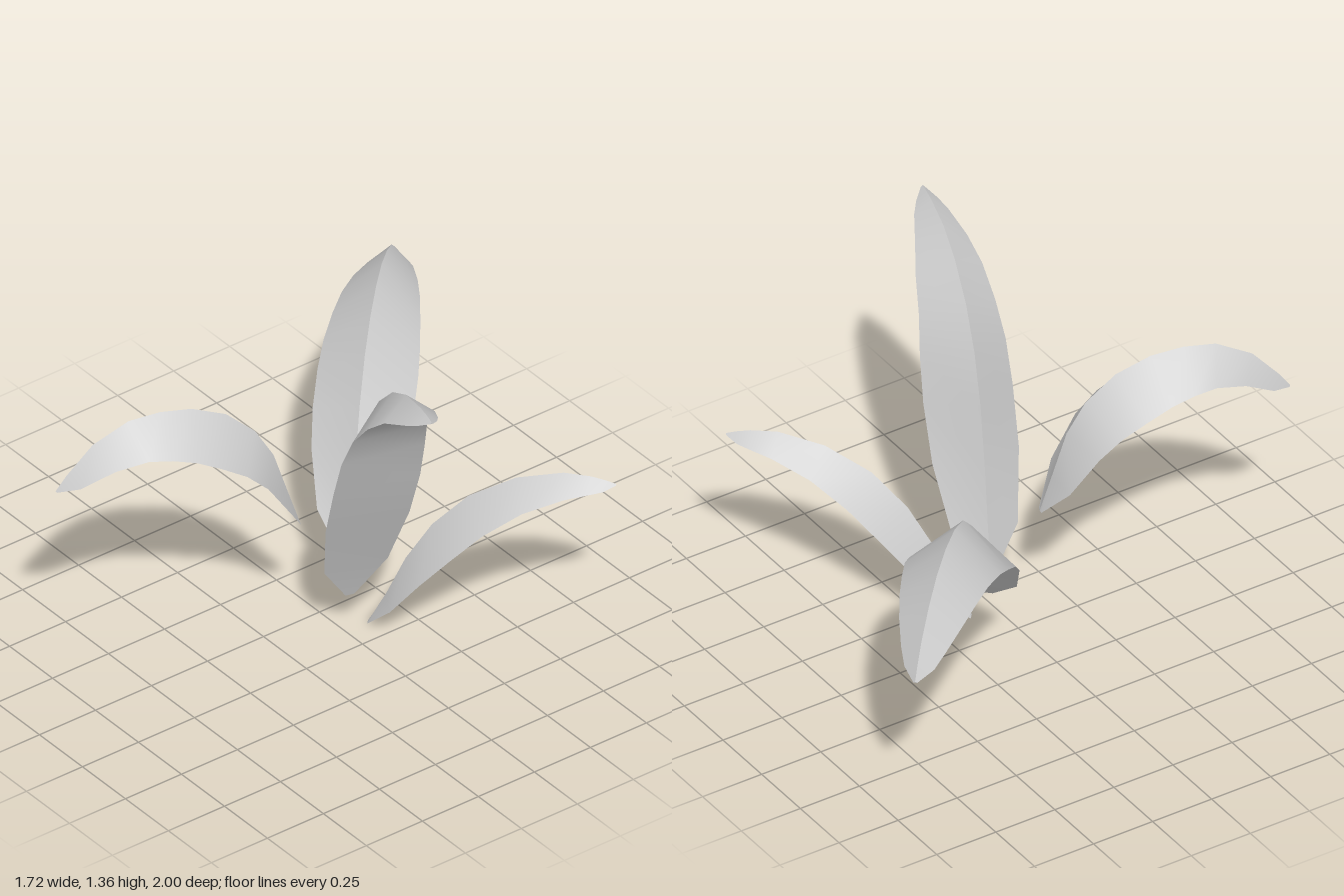
import * as THREE from 'three';

const material = new THREE.MeshStandardMaterial({ color: 0xcccccc, side: THREE.DoubleSide });

// Half width (share of the maximum) and ridge height (share of the half width) along a leaf
const WIDTH = [[0, 0.1], [0.1, 0.72], [0.2, 0.92], [0.33, 1], [0.45, 1], [0.57, 0.95],
  [0.77, 0.74], [0.87, 0.55], [0.93, 0.4], [0.965, 0.29], [1, 0.04]];
const RIDGE = [[0, 0.1], [0.1, 0.27], [0.3, 0.66], [0.45, 0.86], [1, 0.86]];

function lookUp(table, t) {
  const i = Math.max(1, table.findIndex(([key]) => key >= t - 1e-6));
  const [a, va] = table[i - 1], [b, vb] = table[i];
  return va + (vb - va) * (t - a) / (b - a);
}

// A solid blade of triangular section: a ridge along the top and a flat underside.
// rib holds the ridge line as [distance outward, height] points from base to tip.
function makeLeaf({ name, base, tip, halfWidth, rib }) {
  const points = rib.map(([s, y]) => new THREE.Vector2(s, y));
  const last = points.length - 1;
  const lengths = [0];
  for (let i = 1; i <= last; i++) lengths.push(lengths[i - 1] + points[i].distanceTo(points[i - 1]));
  const out = new THREE.Vector2(tip[0] - base[0], tip[1] - base[1]).normalize();

  const place = (s, y, side) => [
    base[0] + out.x * s - out.y * side, y, base[1] + out.y * s + out.x * side];

  // Corners of each section: ridge, one edge, other edge
  const sections = points.map((p, i) => {
    const t = lengths[i] / lengths[last];
    const tangent = points[Math.min(i + 1, last)].clone().sub(points[Math.max(i - 1, 0)]).normalize();
    const w = halfWidth * lookUp(WIDTH, t);
    const drop = w * lookUp(RIDGE, t);
    const s = p.x + tangent.y * drop, y = p.y - tangent.x * drop;
    return [place(p.x, p.y, 0), place(s, y, w), place(s, y, -w)];
  });

  const positions = [], index = [];
  // Each face has its own vertices, which keeps ridge and edges sharp
  for (const [a, b] of [[0, 1], [1, 2], [2, 0]]) {
    const start = positions.length / 3;
    sections.forEach((corners) => positions.push(...corners[a], ...corners[b]));
    for (let i = 0; i < last; i++) {
      const k = start + 2 * i;
      index.push(k, k + 1, k + 2, k + 1, k + 3, k + 2);
    }
  }
  // End caps
  for (const corners of [[...sections[0]].reverse(), sections[last]]) {
    const k = positions.length / 3;
    corners.forEach((corner) => positions.push(...corner));
    index.push(k, k + 1, k + 2);
  }

  const geometry = new THREE.BufferGeometry();
  geometry.setAttribute('position', new THREE.Float32BufferAttribute(positions, 3));
  geometry.setIndex(index);
  geometry.computeVertexNormals();
  const mesh = new THREE.Mesh(geometry, material);
  mesh.name = name;
  return mesh;
}

// Base and tip are [x, z]
const LEAVES = [
  {
    name: 'backRightLeaf', base: [0.03, -0.11], tip: [-0.86, -1], halfWidth: 0.18,
    rib: [[0, 0.18], [0.095, 0.33], [0.18, 0.525], [0.28, 0.665], [0.42, 0.785], [0.57, 0.85],
      [0.73, 0.874], [0.88, 0.865], [1.02, 0.825], [1.145, 0.765], [1.215, 0.71], [1.26, 0.665]],
  },
  {
    name: 'tallLeftLeaf', base: [0.15, -0.02], tip: [0.855, 0.155], halfWidth: 0.168,
    rib: [[0, 0.15], [0.022, 0.315], [0.06, 0.58], [0.105, 0.81], [0.17, 1], [0.26, 1.15],
      [0.38, 1.265], [0.5, 1.33], [0.63, 1.355], [0.685, 1.357], [0.727, 1.355]],
  },
  {
    name: 'frontLeaf', base: [0.03, 0.11], tip: [-0.24, 1], halfWidth: 0.16,
    rib: [[0, 0.45], [0.045, 0.59], [0.1, 0.765], [0.17, 0.885], [0.28, 0.985], [0.41, 1.04],
      [0.53, 1.055], [0.65, 1.045], [0.785, 0.975], [0.885, 0.865], [0.925, 0.81]],
  },
  {
    name: 'backLeftLeaf', base: [0.15, -0.1], tip: [0.775, -0.73], halfWidth: 0.13,
    rib: [[0, 0], [0.065, 0.125], [0.135, 0.285], [0.23, 0.44], [0.36, 0.574], [0.53, 0.667],
      [0.7, 0.703], [0.8, 0.695], [0.85, 0.683], [0.888, 0.67]],
  },
];

export function createModel() {
  const model = new THREE.Group();
  model.name = 'leafCluster';
  LEAVES.forEach((leaf) => model.add(makeLeaf(leaf)));
  return model;
}
